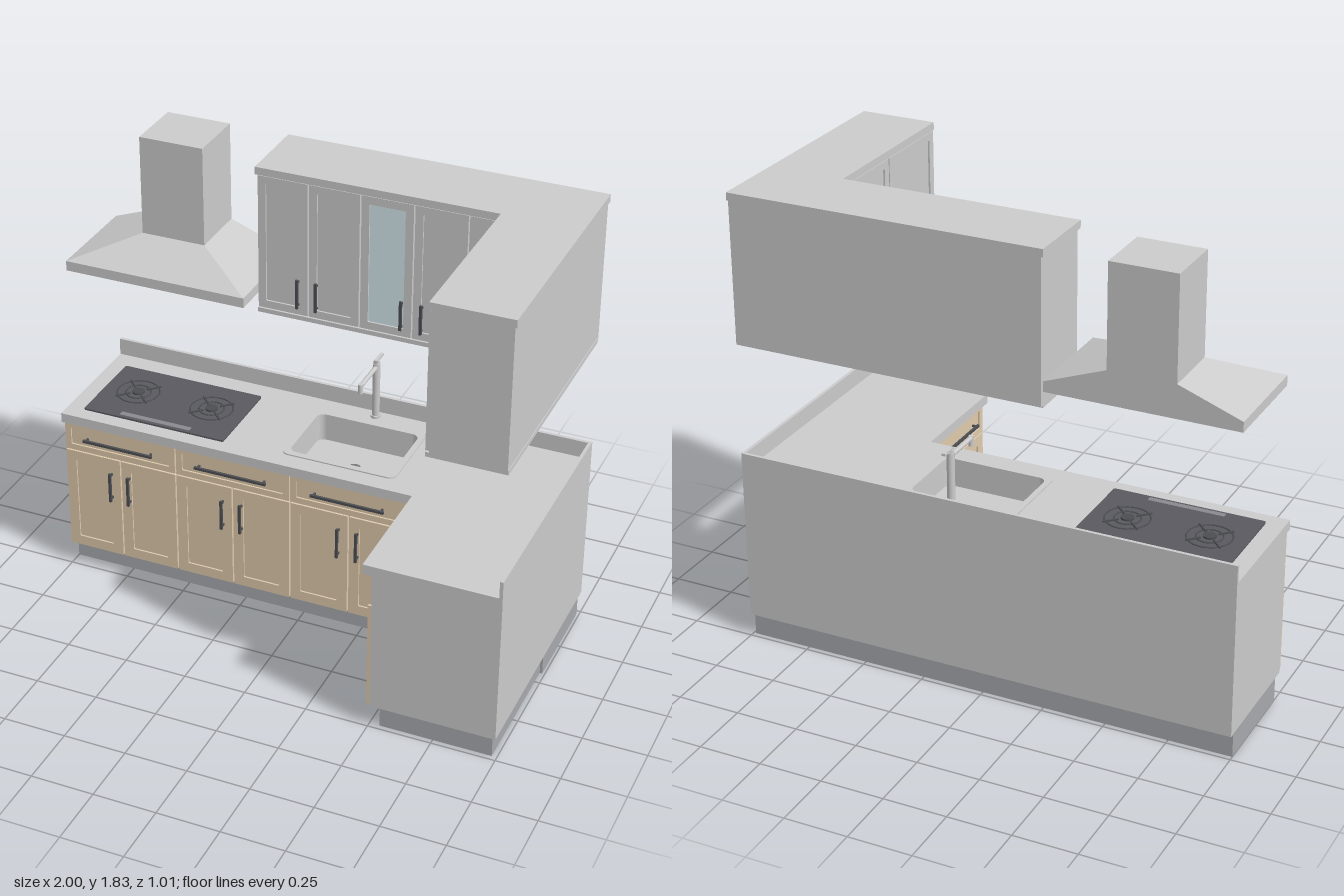
import * as THREE from 'three';

const mat = (color) => new THREE.MeshStandardMaterial({ color });
const M = {
  grey: mat(0xcccccc), wood: mat(0xdfcaad), stone: mat(0xf2f1ef), kick: mat(0xa8a9ae),
  dark: mat(0x4c4e52), hob: mat(0x5a5a60), ring: mat(0x8a8a90), glass: mat(0xd5e8ec), gap: mat(0x77777a),
};

function add(parent, name, geo, material) {
  const m = new THREE.Mesh(geo, material);
  m.name = name;
  parent.add(m);
  return m;
}

// Box given by its limits on each axis
function box(parent, name, [x0, x1], [y0, y1], [z0, z1], material = M.grey) {
  const m = add(parent, name, new THREE.BoxGeometry(x1 - x0, y1 - y0, z1 - z0), material);
  m.position.set((x0 + x1) / 2, (y0 + y1) / 2, (z0 + z1) / 2);
  return m;
}

function cyl(parent, name, r, h, [x, y, z], material = M.grey, rotX = 0) {
  const m = add(parent, name, new THREE.CylinderGeometry(r, r, h, 24), material);
  m.position.set(x, y, z);
  m.rotation.x = rotX;
  return m;
}

// Rounded rectangle in plan; the shape's y axis is -z
function roundRect(x0, x1, z0, z1, r, Type = THREE.Shape) {
  const s = new Type(), a = -z1, b = -z0;
  s.moveTo(x0 + r, a);
  s.lineTo(x1 - r, a).absarc(x1 - r, a + r, r, -Math.PI / 2, 0);
  s.lineTo(x1, b - r).absarc(x1 - r, b - r, r, 0, Math.PI / 2);
  s.lineTo(x0 + r, b).absarc(x0 + r, b - r, r, Math.PI / 2, Math.PI);
  s.lineTo(x0, a + r).absarc(x0 + r, a + r, r, Math.PI, Math.PI * 1.5);
  return s;
}

// Corner-shaped plan: long run along the back, short arm along the right
function cornerPlan(xl, xr, zBack, zFront, xArm, zArm) {
  return new THREE.Shape([[xl, zBack], [xl, zFront], [xArm, zFront], [xArm, zArm], [xr, zArm], [xr, zBack]]
    .map(([x, z]) => new THREE.Vector2(x, -z)));
}

// Raise a plan shape between two heights
function slab(parent, name, shape, y0, y1, material = M.grey) {
  const geo = new THREE.ExtrudeGeometry(shape, { depth: y1 - y0, bevelEnabled: false, curveSegments: 6 });
  const m = add(parent, name, geo.rotateX(-Math.PI / 2), material);
  m.position.y = y0;
  return m;
}

// Bar handle on two posts, standing off the z = 0 face
function handle(parent, x, y, length, vertical, out = 0.026) {
  const g = new THREE.Group();
  g.name = 'handle';
  box(g, 'handleBar', [-length / 2, length / 2], [-0.005, 0.005], [out - 0.01, out], M.dark);
  for (const s of [-1, 1]) {
    const px = s * (length / 2 - 0.012);
    box(g, 'handlePost', [px - 0.004, px + 0.004], [-0.004, 0.004], [0, out - 0.01], M.dark);
  }
  g.position.set(x, y, 0);
  if (vertical) g.rotation.z = Math.PI / 2;
  parent.add(g);
}

// Framed door or drawer front with a recessed panel; its face is z = 0
function front(parent, name, [x0, x1], [y0, y1], material, border, panel = material) {
  const e = 0.003, t = 0.015;
  const shape = roundRect(x0 + e, x1 - e, -(y1 - e), -(y0 + e), 0.001);
  shape.holes.push(roundRect(x0 + border, x1 - border, -(y1 - border), -(y0 + border), 0.004, THREE.Path));
  const geo = new THREE.ExtrudeGeometry(shape, { depth: t, bevelEnabled: false, curveSegments: 2 });
  add(parent, name + 'Frame', geo, material).position.z = -t;
  box(parent, name + 'Panel', [x0 + border - 0.002, x1 - border + 0.002],
    [y0 + border - 0.002, y1 - border + 0.002], [-t, -0.007], panel);
}

// Drawer over a pair of doors
function baseUnit(parent, x0, x1) {
  const c = (x0 + x1) / 2;
  front(parent, 'drawer', [x0, x1], [0.548, 0.68], M.wood, 0.028);
  handle(parent, c, 0.615, 0.3, false);
  front(parent, 'door', [x0, c], [0.098, 0.548], M.wood, 0.045);
  front(parent, 'door', [c, x1], [0.098, 0.548], M.wood, 0.045);
  for (const s of [-1, 1]) handle(parent, c + s * 0.039, 0.425, 0.13, true);
}

// Group whose local +z faces out; the arm's fronts face -x, with local x along world z
function fronts(parent, name, x, z, turned) {
  const g = new THREE.Group();
  g.name = name;
  g.position.set(x, 0, z);
  if (turned) g.rotation.y = -Math.PI / 2;
  parent.add(g);
  return g;
}

function baseCabinets(root) {
  const g = fronts(root, 'baseCabinets', 0, 0);
  box(g, 'plinthLong', [-1, 0.99], [0, 0.096], [-0.48, -0.06], M.kick);
  box(g, 'plinthArm', [0.54, 0.98], [0, 0.095], [-0.06, 0.48], M.kick);
  const hole = () => roundRect(-0.085, 0.36, -0.39, -0.065, 0.035, THREE.Path);
  const body = cornerPlan(-1, 0.997, -0.5, -0.016, 0.506, 0.5);
  body.holes.push(hole());
  slab(g, 'cabinetBody', body, 0.095, 0.68);
  const top = cornerPlan(-1, 0.997, -0.5, 0.02, 0.47, 0.502);
  top.holes.push(hole());
  slab(g, 'countertop', top, 0.68, 0.72, M.stone);
  box(g, 'backsplashLong', [-1, 0.997], [0.72, 0.79], [-0.5, -0.487], M.stone);
  box(g, 'backsplashArm', [0.984, 0.997], [0.72, 0.79], [-0.487, 0.502], M.stone);

  const long = fronts(g, 'longRunFronts', 0, 0);
  for (const [a, b] of [[-1, -0.517], [-0.517, -0.034], [-0.034, 0.453]]) baseUnit(long, a, b);
  box(long, 'cornerFiller', [0.456, 0.506], [0.098, 0.68], [-0.016, 0], M.wood);
  const arm = fronts(g, 'armFronts', 0.491, 0, true);
  box(arm, 'cornerFiller', [0, 0.037], [0.098, 0.68], [-0.015, 0], M.wood);
  baseUnit(arm, 0.04, 0.5);
}

function upperCabinets(root) {
  const g = fronts(root, 'upperCabinets', 0, 0);
  slab(g, 'upperBody', cornerPlan(-0.25, 0.99, -0.5, -0.216, 0.706, 0.5), 1.238, 1.8);
  slab(g, 'cornice', cornerPlan(-0.257, 0.997, -0.5, -0.197, 0.69, 0.502), 1.8, 1.83);
  slab(g, 'bottomRail', cornerPlan(-0.25, 0.993, -0.485, -0.2, 0.692, 0.5), 1.23, 1.248);
  const y = [1.25, 1.8], long = fronts(g, 'upperLongFronts', 0, -0.2);
  const xs = [-0.25, -0.045, 0.16, 0.368, 0.575];
  for (let i = 0; i < 4; i++)
    front(long, i === 2 ? 'glassDoor' : 'upperDoor', [xs[i], xs[i + 1]], y, M.grey, 0.034, i === 2 ? M.glass : M.grey);
  box(long, 'cornerFiller', [0.578, 0.706], [1.253, 1.797], [-0.016, 0]);
  for (const x of [-0.085, -0.01, 0.328, 0.407]) handle(long, x, 1.345, 0.12, true, 0.02);
  const arm = fronts(g, 'upperArmFronts', 0.691, 0, true);
  front(arm, 'upperDoor', [-0.2, 0.146], y, M.grey, 0.034);
  front(arm, 'upperDoor', [0.146, 0.5], y, M.grey, 0.034);
  for (const z of [0.108, 0.184]) handle(arm, z, 1.345, 0.12, true, 0.02);
}

function hood(root) {
  const g = fronts(root, 'extractorHood', 0, 0);
  box(g, 'hoodRim', [-1, -0.257], [1.3, 1.34], [-0.5, -0.085]);
  // Sloped canopy: a box with its top drawn in to the chimney
  const canopy = new THREE.BoxGeometry(1, 1, 1).toNonIndexed(), p = canopy.attributes.position;
  for (let i = 0; i < p.count; i++) {
    const up = p.getY(i) > 0, right = p.getX(i) > 0, near = p.getZ(i) > 0;
    p.setXYZ(i, right ? (up ? -0.497 : -0.257) : (up ? -0.757 : -1), up ? 1.43 : 1.34,
      near ? (up ? -0.257 : -0.085) : -0.5);
  }
  canopy.computeVertexNormals();
  add(g, 'hoodCanopy', canopy, M.grey);
  box(g, 'chimney', [-0.757, -0.497], [1.43, 1.83], [-0.5, -0.257]);
  box(g, 'hoodFilter', [-0.975, -0.282], [1.298, 1.301], [-0.475, -0.11], M.gap);
}

function cooktop(root) {
  const g = fronts(root, 'cooktop', 0, 0);
  slab(g, 'hobPlate', roundRect(-0.93, -0.33, -0.4, -0.04, 0.006), 0.72, 0.727, M.hob);
  box(g, 'controlStrip', [-0.78, -0.48], [0.727, 0.729], [-0.075, -0.052], M.ring);
  for (const x of [-0.79, -0.47]) {
    for (const r of [0.085, 0.05]) {
      const t = add(g, 'burnerRing', new THREE.TorusGeometry(r, 0.003, 6, 32).rotateX(Math.PI / 2), M.dark);
      t.position.set(x, 0.728, -0.235);
    }
    cyl(g, 'burnerCap', 0.025, 0.008, [x, 0.73, -0.235], M.dark);
    for (let i = 0; i < 4; i++) {
      const a = Math.PI / 4 + i * Math.PI / 2;
      const bar = add(g, 'panSupport', new THREE.BoxGeometry(0.06, 0.006, 0.006), M.dark);
      bar.position.set(x + Math.cos(a) * 0.065, 0.73, -0.235 - Math.sin(a) * 0.065);
      bar.rotation.y = a;
    }
  }
}

function sink(root) {
  const g = fronts(root, 'sink', 0, 0);
  const ring = (o, i) => {
    const s = roundRect(...o);
    s.holes.push(roundRect(...i, THREE.Path));
    return s;
  };
  const inner = [-0.072, 0.347, -0.378, -0.08, 0.03];
  slab(g, 'sinkRim', ring([-0.095, 0.37, -0.4, -0.055, 0.03], inner), 0.715, 0.725);
  slab(g, 'basinWall', ring([-0.08, 0.355, -0.386, -0.072, 0.035], inner), 0.61, 0.716);
  slab(g, 'basinFloor', roundRect(-0.08, 0.355, -0.386, -0.072, 0.035), 0.6, 0.61);
  cyl(g, 'drain', 0.025, 0.004, [0.137, 0.612, -0.23], M.gap);
}

function tap(root) {
  const g = fronts(root, 'tap', 0.135, 0);
  cyl(g, 'tapBase', 0.02, 0.01, [0, 0.725, -0.45]);
  cyl(g, 'tapColumn', 0.015, 0.235, [0, 0.842, -0.45]);
  cyl(g, 'tapSpout', 0.009, 0.16, [0, 0.945, -0.365], M.grey, Math.PI / 2);
  cyl(g, 'tapNozzle', 0.01, 0.04, [0, 0.934, -0.288]);
  cyl(g, 'tapCap', 0.012, 0.012, [0, 0.965, -0.45]);
  box(g, 'tapLever', [-0.007, 0.007], [0.968, 0.977], [-0.505, -0.438]);
}

export function createModel() {
  const root = new THREE.Group();
  root.name = 'cornerKitchen';
  for (const build of [baseCabinets, upperCabinets, hood, cooktop, sink, tap]) build(root);
  return root;
}
